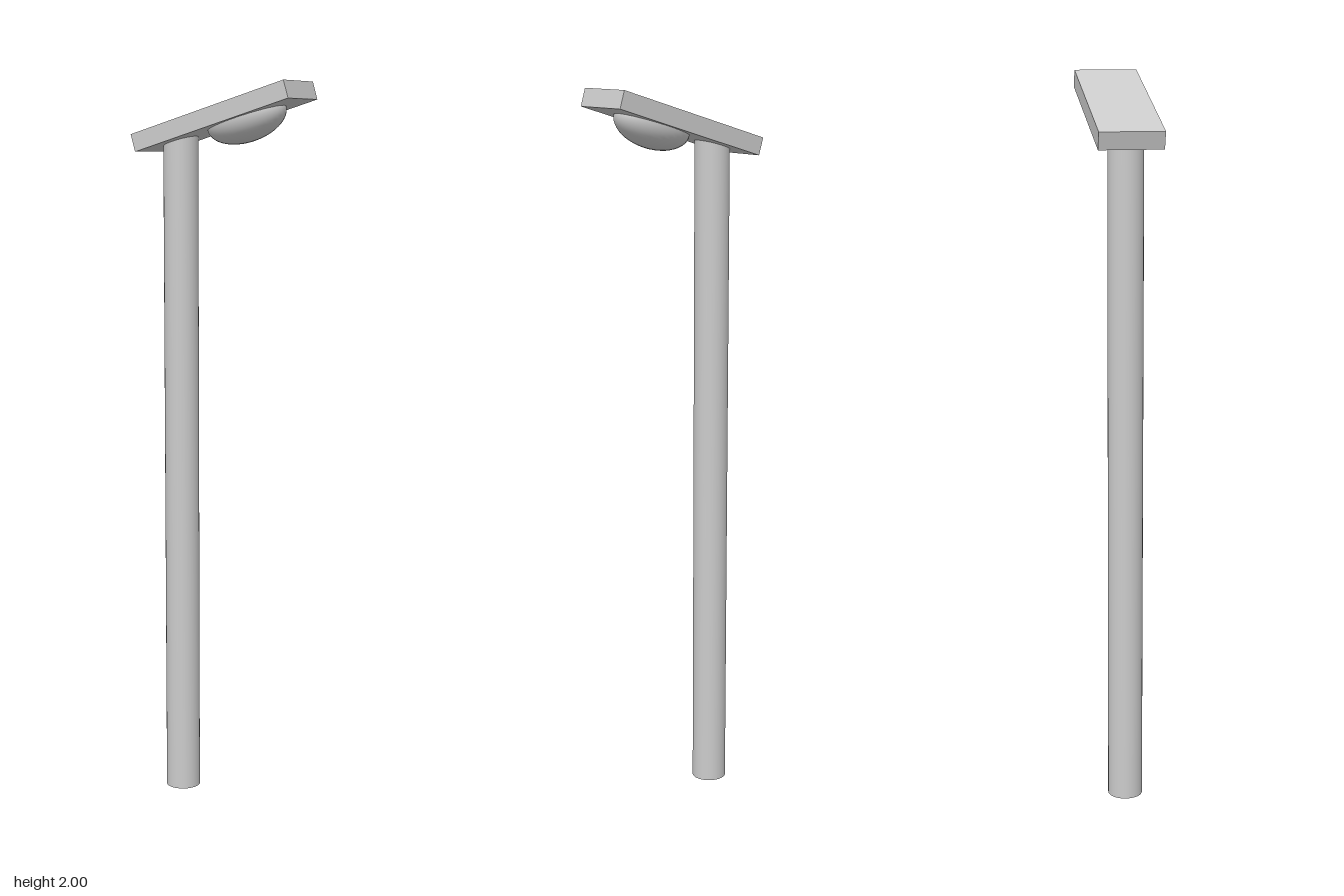
import * as THREE from 'three';

export function createModel() {
  const model = new THREE.Group();
  const material = new THREE.MeshStandardMaterial({ color: 0xcccccc });
  const openMaterial = new THREE.MeshStandardMaterial({ color: 0xcccccc, side: THREE.DoubleSide });

  const add = (parent, name, geometry, mat, x, y, z) => {
    const mesh = new THREE.Mesh(geometry, mat);
    mesh.name = name;
    mesh.position.set(x, y, z);
    parent.add(mesh);
    return mesh;
  };

  // Hollow post, open at the foot, its top tucked into the head
  const poleTop = 1.865;
  add(model, 'pole', new THREE.CylinderGeometry(0.048, 0.048, poleTop, 32, 1, true),
    openMaterial, -0.132, poleTop / 2, 0);

  // Tilted lamp head
  const head = new THREE.Group();
  head.name = 'lampHead';
  head.position.set(0, 1.9075, 0);
  head.rotation.z = THREE.MathUtils.degToRad(16.5);
  model.add(head);

  const thickness = 0.049;
  add(head, 'headPlate', new THREE.BoxGeometry(0.485, thickness, 0.173), material, 0, 0, 0);

  // Lower half of an ellipsoid under the plate
  const bulb = add(head, 'bulb',
    new THREE.SphereGeometry(1, 32, 12, 0, Math.PI * 2, Math.PI / 2, Math.PI / 2),
    material, 0.068, -thickness / 2, 0);
  bulb.scale.set(0.118, 0.063, 0.072);

  return model;
}
